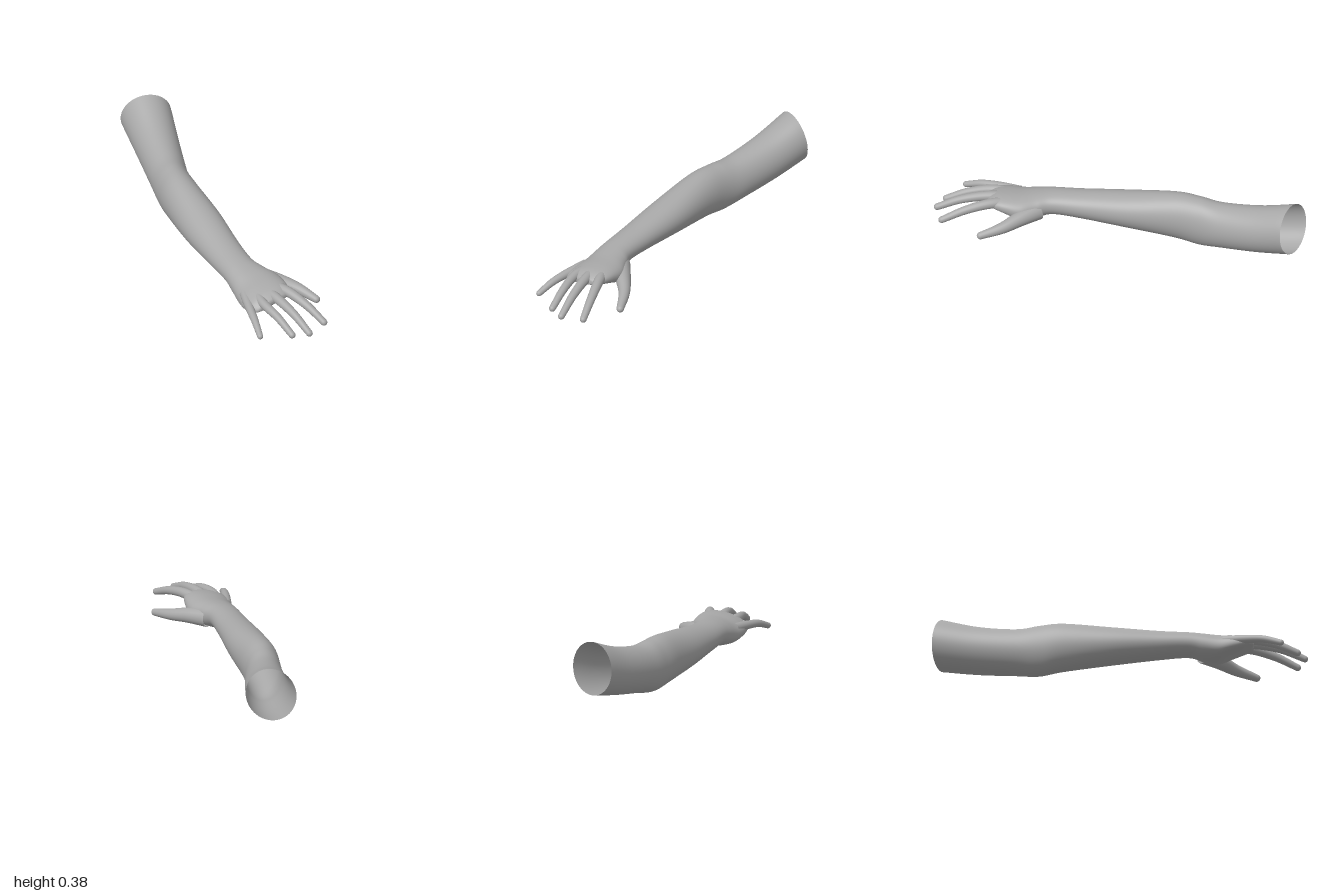
import * as THREE from 'three';

const { clamp, lerp, smoothstep } = THREE.MathUtils;

// Closed-ring loft with a fan closing the last ring
function loft(rings) {
  const n = rings[0].length, pos = [], idx = [];
  rings.forEach(r => r.forEach(p => pos.push(p.x, p.y, p.z)));
  for (let i = 0; i < rings.length - 1; i++) {
    for (let j = 0; j < n; j++) {
      const a = i * n + j, b = i * n + (j + 1) % n, c = b + n, d = a + n;
      idx.push(a, b, c, a, c, d);
    }
  }
  const last = rings[rings.length - 1], start = (rings.length - 1) * n;
  const mid = last.reduce((s, p) => s.add(p), new THREE.Vector3()).divideScalar(n);
  pos.push(mid.x, mid.y, mid.z);
  for (let j = 0; j < n; j++) idx.push(start + j, start + (j + 1) % n, rings.length * n);
  const g = new THREE.BufferGeometry();
  g.setAttribute('position', new THREE.Float32BufferAttribute(pos, 3));
  g.setIndex(idx);
  g.computeVertexNormals();
  return g;
}

const smoothPath = points => new THREE.CatmullRomCurve3(
  points.map(p => new THREE.Vector3(...p)), false, 'catmullrom', 0.5);

// Limb from sections: z, left x, right x, bottom y, top y
function limbGeometry(sections, steps, sides) {
  const edges = smoothPath(sections.map(([z, x0, x1]) => [z, x0, x1]));
  const heights = smoothPath(sections.map(([z, , , y0, y1]) => [z, y0, y1]));
  const rings = [];
  for (let i = 0; i <= steps; i++) {
    const { x: z, y: x0, z: x1 } = edges.getPoint(i / steps);
    const { y: y0, z: y1 } = heights.getPoint(i / steps);
    const hw = (x1 - x0) / 2, hh = (y1 - y0) / 2;
    // The cut leans toward the shoulder; the hand is sheared, arched and squarer
    const tilt = 0.43 * clamp((-0.42 - z) / 0.5, 0, 1);
    const shear = 0.1 * smoothstep(z, -0.5, 0) + 0.1 * smoothstep(z, 0.45, 0.65);
    const arch = 0.01 * smoothstep(z, 0.4, 0.55);
    const power = 1 - 0.13 * smoothstep(z, 0.2, 0.6);
    const ring = [];
    for (let j = 0; j < sides; j++) {
      const a = j / sides * Math.PI * 2, c = Math.cos(a), s = Math.sin(a);
      const u = Math.sign(c) * Math.abs(c) ** power, v = Math.sign(s) * Math.abs(s) ** power;
      ring.push(new THREE.Vector3(
        (x0 + x1) / 2 + hw * u,
        (y0 + y1) / 2 + hh * v + shear * hw * u - arch * u * u,
        z + tilt * (hw * u + 0.28 * hh * v)));
    }
    rings.push(ring);
  }
  return loft(rings);
}

// Tapered finger along a path, ending in a rounded tip
function fingerGeometry(points, baseRadius, tipRadius, sides = 18, steps = 28) {
  const path = smoothPath(points);
  const rings = [], up = new THREE.Vector3(0, 1, 0);
  const addRing = (p, dir, r) => {
    const right = up.clone().cross(dir).normalize(), top = dir.clone().cross(right);
    rings.push(Array.from({ length: sides }, (_, j) => {
      const a = j / sides * Math.PI * 2;
      return p.clone().addScaledVector(right, Math.cos(a) * r).addScaledVector(top, Math.sin(a) * r);
    }));
  };
  for (let i = 0; i <= steps; i++) {
    const t = i / steps;
    addRing(path.getPoint(t), path.getTangent(t), lerp(baseRadius, tipRadius, t));
  }
  const end = path.getPoint(1), dir = path.getTangent(1);
  for (let k = 1; k <= 5; k++) {
    const a = k / 5.3 * Math.PI / 2;
    addRing(end.clone().addScaledVector(dir, Math.sin(a) * tipRadius), dir, Math.cos(a) * tipRadius);
  }
  return loft(rings);
}

export function createModel() {
  const group = new THREE.Group();
  group.name = 'arm';
  const skin = new THREE.MeshStandardMaterial({ color: 0xa8a8a8, side: THREE.DoubleSide });
  skin.name = 'plain grey';
  const add = (name, geometry) => {
    const mesh = new THREE.Mesh(geometry, skin);
    mesh.name = name;
    group.add(mesh);
  };

  // Open upper arm, elbow, forearm, wrist and palm as one smooth surface
  add('armAndPalm', limbGeometry([
    [-0.945, 0.02, 0.268, 0.1, 0.383],
    [-0.75, -0.023, 0.205, 0.057, 0.318],
    [-0.55, -0.073, 0.138, 0.022, 0.279],
    [-0.43, -0.106, 0.098, 0.001, 0.283],
    [-0.3, -0.135, 0.076, 0.016, 0.284],
    [-0.05, -0.166, 0.055, 0.04, 0.251],
    [0.2, -0.176, 0.016, 0.06, 0.218],
    [0.36, -0.181, 0, 0.069, 0.204],
    [0.44, -0.189, 0.022, 0.052, 0.197],
    [0.52, -0.2, 0.053, 0.048, 0.191],
    [0.6, -0.214, 0.048, 0.075, 0.187],
    [0.66, -0.21, 0.032, 0.098, 0.179],
    [0.7, -0.185, 0.008, 0.117, 0.16],
    [0.71, -0.15, -0.03, 0.13, 0.146],
  ], 120, 56));

  // Fingers and thumb, rooted inside the palm
  add('indexFinger', fingerGeometry(
    [[-0.035, 0.148, 0.56], [0.01, 0.16, 0.69], [0.05, 0.134, 0.82], [0.083, 0.085, 0.94]], 0.032, 0.018));
  add('middleFinger', fingerGeometry(
    [[-0.077, 0.147, 0.58], [-0.065, 0.154, 0.71], [-0.048, 0.132, 0.85], [-0.032, 0.082, 0.978]], 0.031, 0.018));
  add('ringFinger', fingerGeometry(
    [[-0.122, 0.14, 0.57], [-0.142, 0.142, 0.69], [-0.13, 0.124, 0.82], [-0.116, 0.079, 0.94]], 0.029, 0.018));
  add('littleFinger', fingerGeometry(
    [[-0.17, 0.124, 0.55], [-0.207, 0.117, 0.66], [-0.236, 0.104, 0.76], [-0.261, 0.072, 0.852]], 0.027, 0.016));
  add('thumb', fingerGeometry(
    [[-0.02, 0.117, 0.44], [0.055, 0.107, 0.527], [0.122, 0.088, 0.613], [0.171, 0.065, 0.722]], 0.052, 0.02));

  return group;
}
